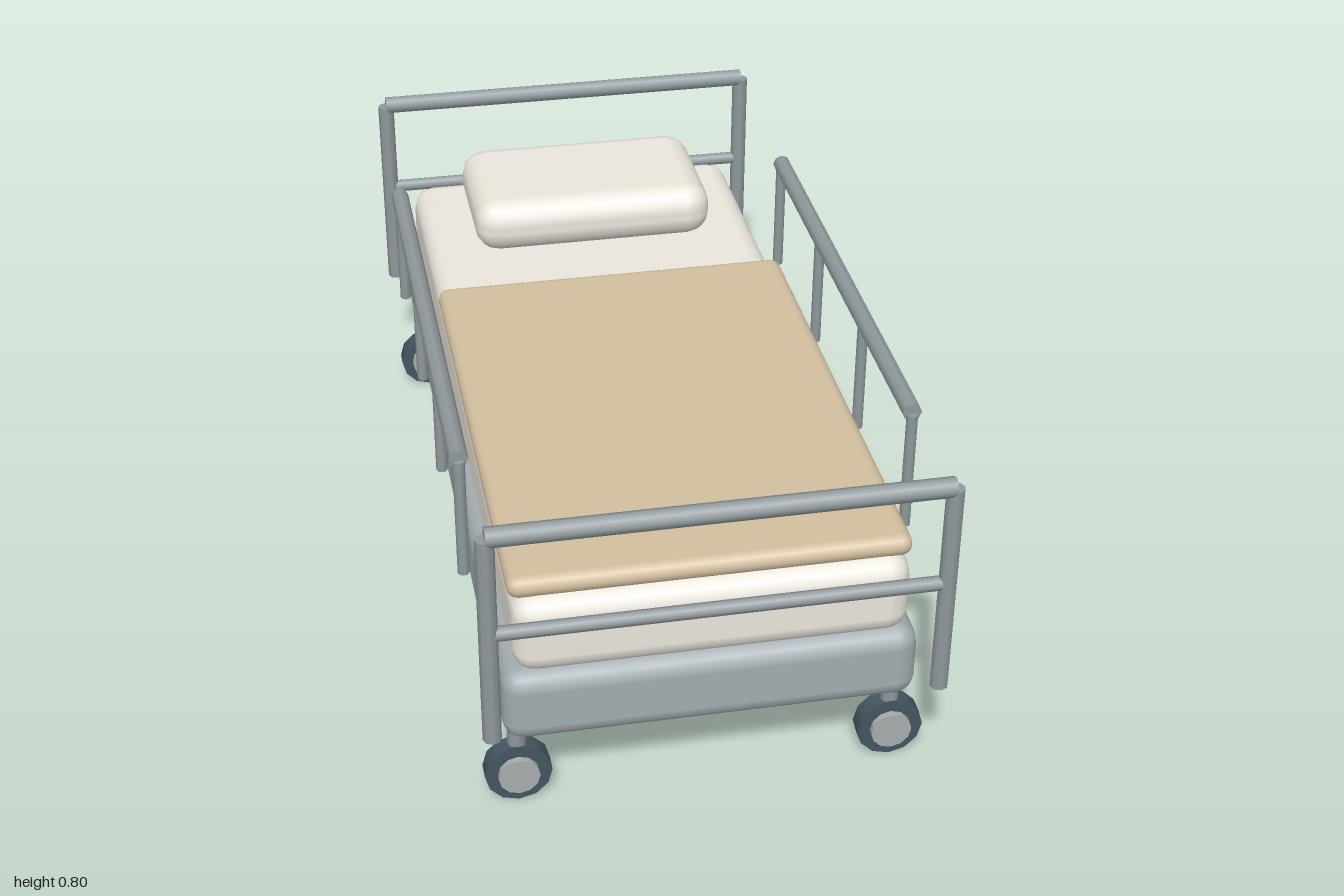
import * as THREE from 'three';
import { RoundedBoxGeometry } from 'three/addons/geometries/RoundedBoxGeometry.js';

const paint = (color) => new THREE.MeshStandardMaterial({ color });

export function createModel() {
  const bed = new THREE.Group();
  bed.name = 'bed';
  const metal = paint(0x90999c);
  const frame = paint(0xa3adb1);
  const linen = paint(0xebe7dd);
  const tan = paint(0xd2bf9f);
  const rubber = paint(0x455560);
  const hubGrey = paint(0xa8adae);

  const add = (parent, name, geometry, material, x, y, z) => {
    const mesh = new THREE.Mesh(geometry, material);
    mesh.name = name;
    mesh.position.set(x, y, z);
    parent.add(mesh);
    return mesh;
  };

  // Soft box given by its half width, height range and depth range
  const softBox = (name, halfX, y0, y1, z0, z1, radius, material) =>
    add(bed, name, new RoundedBoxGeometry(halfX * 2, y1 - y0, z1 - z0, 2, radius),
      material, 0, (y0 + y1) / 2, (z0 + z1) / 2);

  // Round bar along one axis, centred on x, y, z
  const bar = (parent, name, axis, radius, length, x, y, z, sides = 8, material = metal) => {
    const geometry = new THREE.CylinderGeometry(radius, radius, length, sides);
    if (axis === 'x') geometry.rotateZ(Math.PI / 2);
    if (axis === 'z') geometry.rotateX(Math.PI / 2);
    return add(parent, name, geometry, material, x, y, z);
  };

  const group = (name) => {
    const g = new THREE.Group();
    g.name = name;
    bed.add(g);
    return g;
  };

  // Base and bedding
  softBox('base', 0.445, 0.205, 0.382, -0.94, 0.94, 0.045, frame);
  softBox('mattress', 0.42, 0.38, 0.566, -0.94, 0.94, 0.05, linen);
  softBox('blanket', 0.425, 0.555, 0.605, -0.308, 0.908, 0.025, tan);
  softBox('pillow', 0.3, 0.564, 0.7, -0.87, -0.498, 0.06, linen);

  // Headboard and footboard frames
  for (const [name, z] of [['headboard', -0.98], ['footboard', 0.98]]) {
    const end = group(name);
    for (const x of [-0.475, 0.475]) bar(end, 'endPost', 'y', 0.02, 0.505, x, 0.5225, z);
    bar(end, 'topBar', 'x', 0.022, 0.95, 0, 0.778, z);
    bar(end, 'middleBar', 'x', 0.016, 0.93, 0, 0.54, z);
  }

  // Side rails
  for (const [name, x] of [['leftRail', 0.485], ['rightRail', -0.485]]) {
    const rail = group(name);
    bar(rail, 'handrail', 'z', 0.021, 1.185, x, 0.739, 0.0515);
    for (let i = 0; i < 4; i++) {
      bar(rail, 'railPost', 'y', 0.013, 0.285, x, 0.5925, 0.644 - i * 0.395);
    }
  }

  // Castors, all with the hub on the front face
  for (const x of [-0.41, 0.41]) {
    for (const z of [-0.855, 0.855]) {
      const castor = group('castor');
      bar(castor, 'stem', 'y', 0.02, 0.135, x, 0.1475, z);
      bar(castor, 'wheel', 'z', 0.073, 0.04, x, 0.075, z, 12, rubber);
      bar(castor, 'hub', 'z', 0.045, 0.03, x, 0.075, z + 0.019, 12, hubGrey);
    }
  }

  return bed;
}
